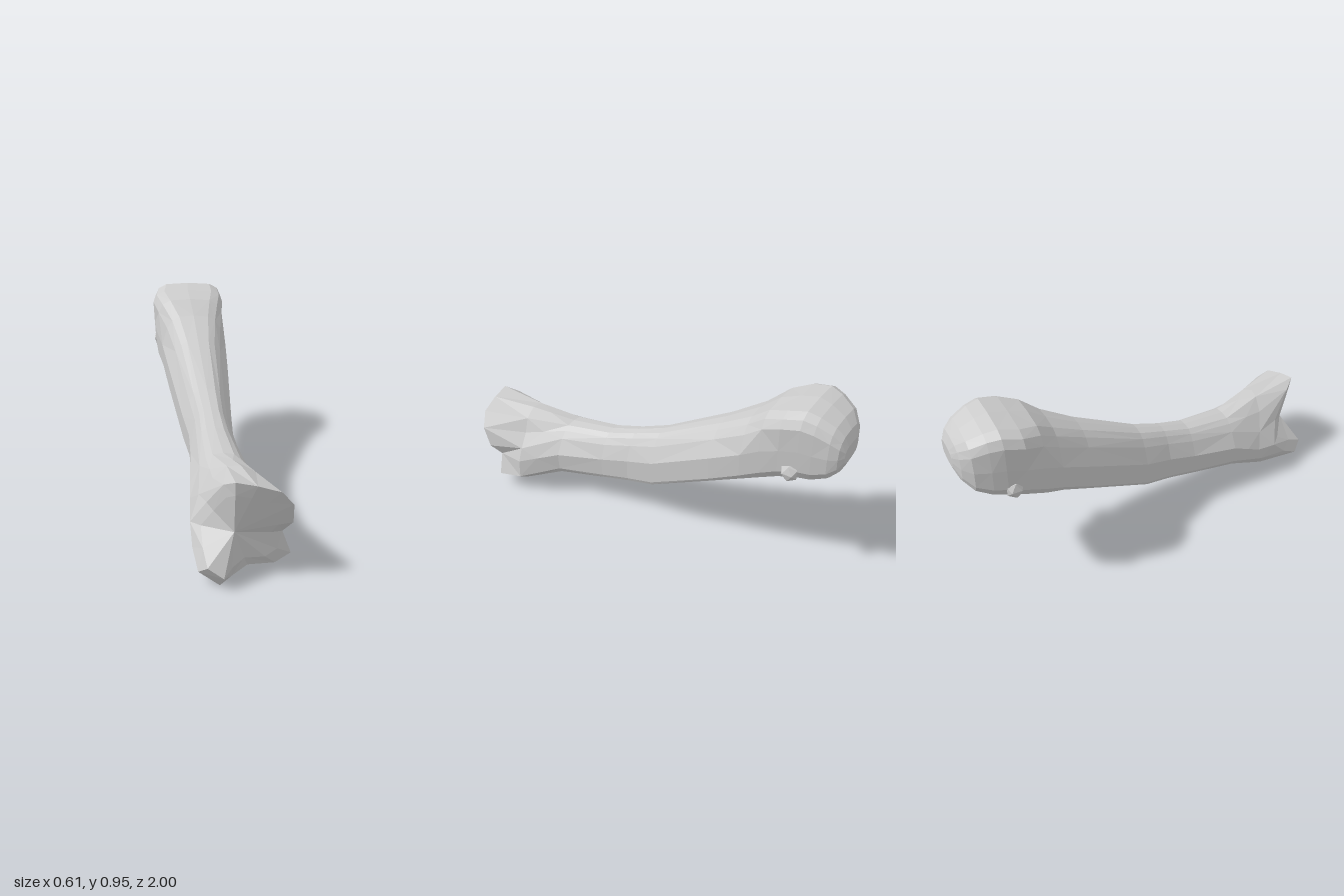
import * as THREE from 'three';

const N = 16; // corners per cross-section

// Head and shaft sections: z, left x, right x, bottom y, top y, taper of the top,
// squareness of the top, squareness of the bottom
const SECTIONS = [
  [-1.0, -0.13, 0.02, 0.72, 0.81, 0, 3, 3],
  [-0.98, -0.19, 0.05, 0.665, 0.86, 0, 3, 3],
  [-0.94, -0.24, 0.068, 0.62, 0.9, -0.03, 3.5, 3.5],
  [-0.87, -0.268, 0.08, 0.582, 0.935, -0.06, 4, 3.6],
  [-0.81, -0.285, 0.086, 0.568, 0.95, -0.1, 4, 3.6],
  [-0.72, -0.294, 0.092, 0.545, 0.925, -0.11, 4.2, 4],
  [-0.63, -0.28, 0.1, 0.51, 0.89, 0.03, 3.8, 4.6],
  [-0.54, -0.25, 0.107, 0.48, 0.815, 0.22, 3.4, 6],
  [-0.38, -0.215, 0.11, 0.41, 0.715, 0.38, 3.4, 9],
  [-0.05, -0.142, 0.11, 0.242, 0.54, 0.42, 3.4, 9],
  [0.1, -0.112, 0.11, 0.202, 0.485, 0.42, 3.4, 8],
  [0.25, -0.108, 0.132, 0.172, 0.44, 0.4, 3.4, 7],
  [0.5, -0.115, 0.19, 0.125, 0.41, 0.45, 3.4, 4.5],
];

// Outlines below the shaft run anticlockwise from the right: x, y, z
// Neck of the joint: narrow ridge above, wide lump at the lower right
const NECK = [
  [0.285, 0.2, 0.7], [0.255, 0.27, 0.7], [0.2, 0.34, 0.71], [0.165, 0.41, 0.72],
  [0.1, 0.445, 0.73], [0.04, 0.44, 0.72], [-0.02, 0.38, 0.71], [-0.08, 0.29, 0.68],
  [-0.117, 0.2, 0.66], [-0.115, 0.13, 0.68], [-0.085, 0.075, 0.7], [0, 0.05, 0.7],
  [0.06, 0.048, 0.7], [0.12, 0.05, 0.7], [0.22, 0.055, 0.7], [0.29, 0.1, 0.7],
];
// Rim of the joint face
const RIM = [
  [0.27, 0.19, 0.84], [0.31, 0.25, 0.88], [0.305, 0.35, 0.92], [0.25, 0.42, 0.95],
  [0.15, 0.455, 0.965], [0.06, 0.475, 0.97], [0.015, 0.44, 0.91], [-0.05, 0.31, 0.8],
  [-0.12, 0.2, 0.76], [-0.112, 0.12, 0.84], [-0.09, 0.06, 0.94], [0, 0, 0.95],
  [0.05, 0.025, 0.92], [0.12, 0.055, 0.88], [0.24, 0.045, 0.85], [0.31, 0.08, 0.83],
];
// Depth of the inner ring on the joint face: rounded condyle and hollow
const INNER_Z = [0.87, 0.89, 0.92, 0.94, 0.955, 0.96, 0.92, 0.84,
  0.81, 0.9, 0.99, 1.0, 0.94, 0.9, 0.88, 0.86];

const mix = THREE.MathUtils.lerp;
const soft = (v, n) => Math.sign(v) * Math.pow(Math.abs(v), 2 / n);

// Rounded-box section, square below and tapered towards the top
function section([z, x0, x1, y0, y1, taper, nTop, nBottom]) {
  return RIM.map((_, k) => {
    const a = (k / N) * Math.PI * 2;
    const n = k > N / 2 ? nBottom : nTop;
    const v = soft(Math.sin(a), n);
    const u = soft(Math.cos(a), n) * (1 - taper * Math.max(0, v));
    return [(x0 + x1) / 2 + (u * (x1 - x0)) / 2, (y0 + y1) / 2 + (v * (y1 - y0)) / 2, z];
  });
}

// Skin over a list of rings, closed at both ends by a centre point
function loft(rings, startTip, endTip) {
  const pos = [startTip, ...rings.flat(), endTip].flat();
  const at = (i, k) => 1 + i * N + (k % N);
  const last = rings.length - 1;
  const idx = [];
  for (let k = 0; k < N; k++) {
    idx.push(0, at(0, k + 1), at(0, k));
    idx.push(at(last, k), at(last, k + 1), 1 + rings.length * N);
    for (let i = 0; i < last; i++) {
      const a = at(i, k), b = at(i, k + 1), c = at(i + 1, k + 1), d = at(i + 1, k);
      // alternate the diagonal for an irregular faceted look
      if ((i + k) % 2) idx.push(a, b, c, a, c, d);
      else idx.push(a, b, d, b, c, d);
    }
  }
  const indexed = new THREE.BufferGeometry();
  indexed.setAttribute('position', new THREE.Float32BufferAttribute(pos, 3));
  indexed.setIndex(idx);
  const geo = indexed.toNonIndexed();
  geo.computeVertexNormals(); // flat facets
  return geo;
}

export function createModel() {
  const group = new THREE.Group();
  group.name = 'longBone';
  const bone = new THREE.MeshStandardMaterial({ color: 0xcccccc });
  bone.name = 'bone grey';

  // Head, shaft and lower joint as one skin
  const shaft = SECTIONS.map(section);
  const flare = shaft.at(-1).map((p, k) => p.map((c, j) => mix(c, NECK[k][j], 0.55)));
  const inner = RIM.map(([x, y], k) => [mix(x, 0.06, 0.25), mix(y, 0.23, 0.25), INNER_Z[k]]);
  const rings = [...shaft, flare, NECK, RIM, inner];
  const body = new THREE.Mesh(loft(rings, [-0.055, 0.765, -1], [0.06, 0.23, 0.92]), bone);
  body.name = 'boneShaft';
  group.add(body);

  // Small tubercles on either side of the head
  for (const [name, x] of [['rightTubercle', -0.272], ['leftTubercle', 0.083]]) {
    const nub = new THREE.Mesh(new THREE.IcosahedronGeometry(1, 0), bone);
    nub.name = name;
    nub.scale.set(0.03, 0.045, 0.045);
    nub.position.set(x, 0.635, -0.78);
    group.add(nub);
  }
  return group;
}
